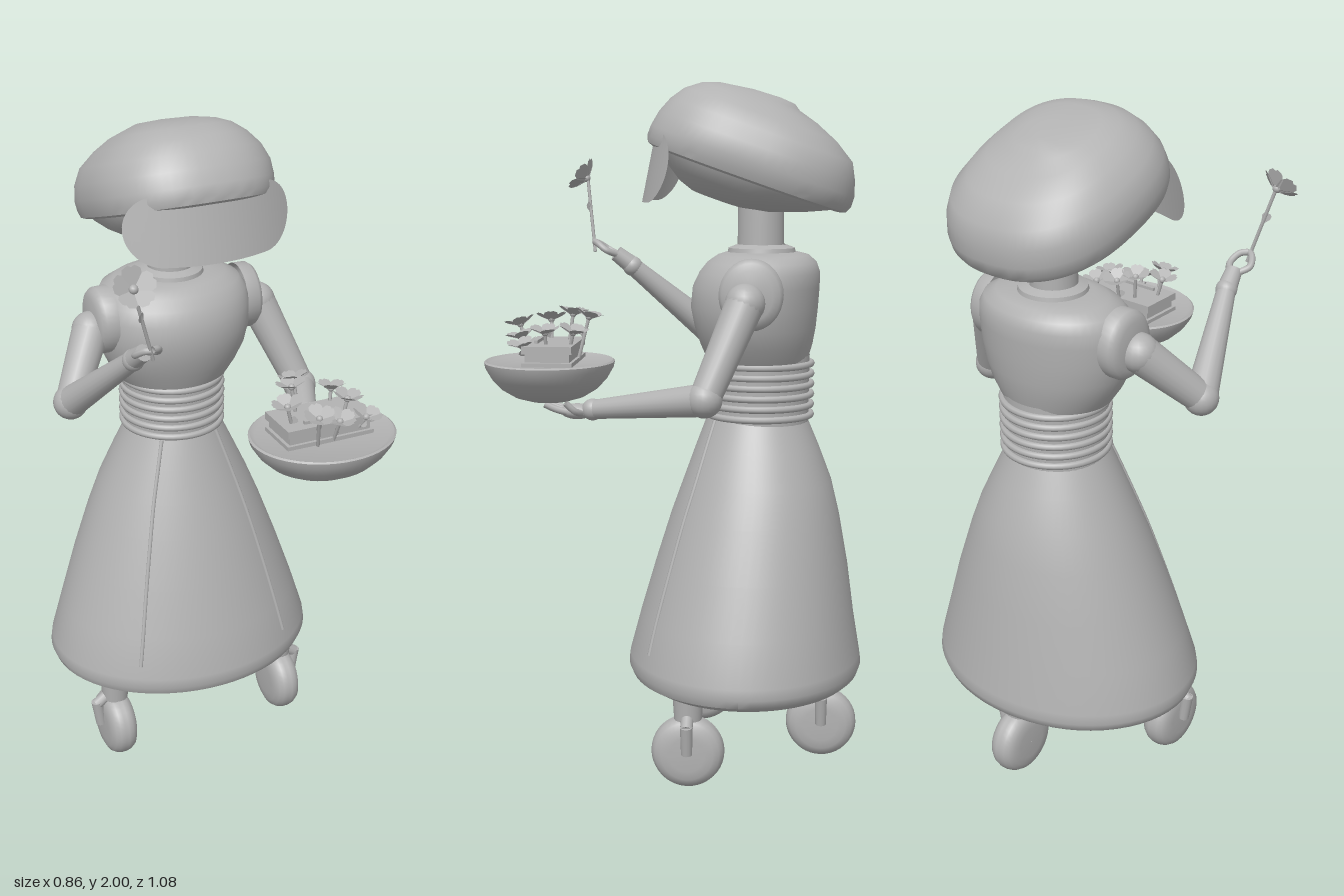
import * as THREE from 'three';
import { toCreasedNormals, mergeGeometries } from 'three/addons/utils/BufferGeometryUtils.js';

const V = (x, y, z) => new THREE.Vector3(x, y, z);

export function createModel() {
  const model = new THREE.Group();
  const grey = new THREE.MeshStandardMaterial({ color: 0xb2b2b2, side: THREE.DoubleSide });
  grey.name = 'plain grey';

  const add = (name, geometry, parent = model, position) => {
    const mesh = new THREE.Mesh(geometry, grey);
    mesh.name = name;
    if (position) mesh.position.copy(position);
    parent.add(mesh);
    return mesh;
  };
  const group = (name, parent = model) => {
    const g = new THREE.Group();
    g.name = name;
    parent.add(g);
    return g;
  };

  // Skin of stacked ellipses, each [y, radiusX, radiusZ, centreZ]; power over 2 squares them off
  const loft = (sections, n = 48, crease = 0.6, power = 2) => {
    const pos = [], idx = [];
    const bend = v => Math.sign(v) * Math.pow(Math.abs(v), 2 / power);
    sections.forEach(([y, rx, rz, cz = 0], j) => {
      for (let i = 0; i < n; i++) {
        const a = (i / n) * Math.PI * 2;
        pos.push(rx * bend(Math.cos(a)), y, cz + rz * bend(Math.sin(a)));
        if (j === sections.length - 1) continue;
        const p = j * n + i, q = j * n + ((i + 1) % n);
        idx.push(p, p + n, q, q, p + n, q + n);
      }
    });
    const g = new THREE.BufferGeometry();
    g.setAttribute('position', new THREE.Float32BufferAttribute(pos, 3));
    g.setIndex(idx);
    return toCreasedNormals(g, crease);
  };

  // Tapered rod from a to b
  const rod = (name, a, b, r0, r1, parent, sides = 20) => {
    const m = add(name, new THREE.CylinderGeometry(r1, r0, a.distanceTo(b), sides), parent);
    m.position.copy(a).lerp(b, 0.5);
    m.quaternion.setFromUnitVectors(V(0, 1, 0), b.clone().sub(a).normalize());
  };
  const ball = (name, p, r, parent) => add(name, new THREE.SphereGeometry(r, 20, 14), parent, p);
  const tube = (name, pts, r, parent) =>
    add(name, new THREE.TubeGeometry(new THREE.CatmullRomCurve3(pts), 16, r, 8), parent);

  // Skirt, with a rolled hem and a recessed floor
  const skirt = [
    [0.26, 0.39, 0.315, -0.2], [0.275, 0.412, 0.337, -0.195], [0.3, 0.422, 0.347, -0.194],
    [0.33, 0.418, 0.343, -0.194], [0.45, 0.381, 0.317, -0.2], [0.6, 0.331, 0.285, -0.212],
    [0.75, 0.276, 0.248, -0.222], [0.85, 0.235, 0.218, -0.228], [0.95, 0.188, 0.181, -0.227],
    [1.035, 0.147, 0.147, -0.225],
  ];
  add('skirt', loft(skirt, 64));
  add('skirtFloor', loft([[0.27, 0.001, 0.001, -0.2], [0.27, 0.32, 0.255, -0.2], [0.262, 0.34, 0.27, -0.2], [0.26, 0.39, 0.315, -0.2]], 64));

  // Raised seams down the front of the skirt
  for (const s of [-1, 1]) {
    const pts = skirt.slice(4).map(([y, rx, rz, cz]) => V(s * rx * 0.6, y, cz + rz * 0.8));
    pts.unshift(V(s * 0.244, 0.37, -0.196 + 0.333 * 0.8));
    tube('skirtSeam', pts, 0.006);
  }

  // Ribbed waist
  add('waist', loft([[1.02, 0.15, 0.146, -0.23], [1.22, 0.154, 0.148, -0.23]]));
  for (let i = 0; i < 6; i++) {
    const ring = add('waistRing', new THREE.TorusGeometry(0.151, 0.01, 8, 48), model, V(0, 1.045 + i * 0.03, -0.232));
    ring.rotation.x = Math.PI / 2;
  }

  // Torso, collar and neck
  add('torso', loft([
    [1.205, 0.001, 0.001, -0.225], [1.205, 0.168, 0.146, -0.225], [1.25, 0.198, 0.163, -0.222],
    [1.3, 0.221, 0.176, -0.218], [1.36, 0.234, 0.185, -0.215], [1.42, 0.236, 0.184, -0.22],
    [1.46, 0.23, 0.175, -0.23], [1.49, 0.211, 0.158, -0.237], [1.51, 0.17, 0.132, -0.24],
    [1.518, 0.12, 0.105, -0.238], [1.52, 0.001, 0.001, -0.235],
  ], 48, 0.9));
  add('collar', loft([[1.51, 0.1, 0.1, -0.235], [1.53, 0.096, 0.096, -0.235], [1.54, 0.07, 0.07, -0.235]]));
  add('neck', new THREE.CylinderGeometry(0.065, 0.067, 0.2, 32), model, V(0, 1.62, -0.232));

  // Tilted, squarish helmet with a domed underside
  const head = group('head');
  head.position.set(0, 1.74, -0.195);
  head.rotation.x = -0.337;
  add('helmet', loft([
    [0, 0.225, 0.27], [-0.014, 0.24, 0.285], [-0.008, 0.255, 0.302], [0.01, 0.262, 0.31], [0.04, 0.267, 0.309],
    [0.085, 0.263, 0.297, 0.003], [0.13, 0.243, 0.276, 0.005], [0.17, 0.205, 0.231, 0.022],
    [0.2, 0.165, 0.175, 0.037], [0.217, 0.124, 0.122, 0.043], [0.23, 0.08, 0.065, 0.005], [0.234, 0.001, 0.001, -0.015],
  ], 64, 0.7, 2.45), head);
  add('headUnderside', loft([
    [-0.098, 0.001, 0.001, 0.06], [-0.095, 0.1, 0.08, 0.06], [-0.08, 0.155, 0.14, 0.042],
    [-0.05, 0.2, 0.205, 0.022], [-0.02, 0.228, 0.258, 0.006], [0.005, 0.238, 0.284],
  ], 48, 0.9, 2.3), head);

  // Curved pill-shaped face plate, made of vertical strips
  const face = new THREE.PlaneGeometry(2, 2, 40, 6), fp = face.attributes.position;
  for (let i = 0; i < fp.count; i++) {
    const x = 0.25 * Math.sin(fp.getX(i) * Math.PI / 2);
    const over = Math.max(0, Math.abs(x) - 0.155) / 0.095;
    const y = 1.758 + fp.getY(i) * 0.096 * Math.sqrt(Math.max(0, 1 - over * over));
    fp.setXYZ(i, x, y, 0.09 + (1.765 - y) * 0.2 - 1.2 * x * x);
  }
  face.computeVertexNormals();
  add('facePlate', face);

  // Arms: shoulder disc, upper arm, elbow, forearm, wrist
  const arm = (name, s, elbow, wrist) => {
    const g = group(name), shoulder = V(s * 0.268, 1.39, -0.2);
    const disc = add('shoulderDisc', loft([[-0.03, 0.1, 0.09], [0.008, 0.099, 0.09], [0.02, 0.09, 0.081], [0.028, 0.07, 0.062], [0.032, 0.001, 0.001]], 32, 0.9), g, V(s * 0.235, 1.41, -0.215));
    disc.rotation.z = -s * Math.PI / 2;
    ball('shoulder', shoulder, 0.056, g);
    rod('upperArm', shoulder, elbow, 0.055, 0.044, g);
    ball('elbow', elbow, 0.05, g);
    rod('forearm', elbow, wrist, 0.046, 0.027, g);
    ball('wrist', wrist, 0.031, g);
    return g;
  };
  const leftArm = arm('leftArm', 1, V(0.367, 1.135, -0.095), V(0.235, 1.085, 0.23));
  const rightArm = arm('rightArm', -1, V(-0.385, 1.24, -0.07), V(-0.29, 1.455, 0.175));

  // Left hand, spread under the bowl
  ball('palm', V(0.225, 1.078, 0.275), 0.032, leftArm).scale.set(1, 0.7, 1.5);
  [-1, 0, 1].forEach(i => tube('finger', [V(0.222 + i * 0.018, 1.075, 0.29), V(0.215 + i * 0.03, 1.085, 0.33), V(0.21 + i * 0.036, 1.1, 0.365)], 0.01, leftArm));
  tube('thumb', [V(0.245, 1.075, 0.26), V(0.275, 1.085, 0.275), V(0.285, 1.11, 0.3)], 0.01, leftArm);

  // Right hand, pinching the flower stem
  rod('palm', V(-0.29, 1.46, 0.18), V(-0.28, 1.495, 0.225), 0.028, 0.024, rightArm);
  tube('finger', [V(-0.29, 1.49, 0.215), V(-0.315, 1.505, 0.25), V(-0.302, 1.525, 0.28), V(-0.285, 1.53, 0.293)], 0.01, rightArm);
  tube('thumb', [V(-0.27, 1.49, 0.215), V(-0.25, 1.505, 0.25), V(-0.262, 1.525, 0.278), V(-0.283, 1.53, 0.291)], 0.01, rightArm);

  // Flower: five notched, cupped petals around a bead, facing along dir
  const petalShape = new THREE.Shape();
  [[0.12, 0], [0.42, 0.55], [0.38, 0.85], [0.14, 1], [0, 0.92], [-0.14, 1], [-0.38, 0.85], [-0.42, 0.55], [-0.12, 0]]
    .forEach(([x, y], i) => (i ? petalShape.lineTo(x, y) : petalShape.moveTo(x, y)));
  const petal = new THREE.ShapeGeometry(petalShape);
  petal.rotateX(0.5);
  const petals = mergeGeometries([0, 1, 2, 3, 4].map(i => petal.clone().rotateZ(i * Math.PI * 0.4)));
  const flower = (root, tip, dir, size, parent) => {
    const g = group('flower', parent);
    rod('stem', root, tip, 0.005, 0.005, g, 6);
    const bloom = group('bloom', g);
    bloom.position.copy(tip);
    bloom.quaternion.setFromUnitVectors(V(0, 0, 1), dir.clone().normalize());
    bloom.scale.setScalar(size);
    add('petals', petals, bloom);
    add('flowerCentre', new THREE.SphereGeometry(0.2, 10, 8), bloom, V(0, 0, 0.1));
    const leaf = add('leaf', petal, g, root.clone().lerp(tip, 0.55));
    leaf.scale.setScalar(size * 0.5);
    leaf.rotation.set(0.8, tip.x * 25, 0);
  };
  flower(V(-0.28, 1.5, 0.29), V(-0.345, 1.72, 0.32), V(-0.15, 0.6, 0.8), 0.065, model);

  // Bowl, filled almost to the rim
  const bowl = group('bowl');
  bowl.position.set(0.197, 0, 0.357);
  add('bowlShell', loft([
    [1.105, 0.001, 0.001], [1.106, 0.07, 0.06], [1.118, 0.115, 0.1], [1.14, 0.155, 0.136], [1.17, 0.187, 0.164],
    [1.2, 0.207, 0.181], [1.217, 0.212, 0.185], [1.221, 0.206, 0.18], [1.215, 0.193, 0.168], [1.213, 0.001, 0.001],
  ], 48, 0.7), bowl);

  // Layered planter standing in the bowl
  for (let i = 0; i < 3; i++)
    add('planterLayer', new THREE.BoxGeometry(i === 1 ? 0.25 : 0.268, 0.022, i === 1 ? 0.125 : 0.14), bowl, V(-0.003, 1.215 + i * 0.023, -0.012));
  add('planterRail', new THREE.BoxGeometry(0.13, 0.012, 0.01), bowl, V(-0.01, 1.275, 0.03));

  // Planted flowers, each [x, y, z]
  const bouquet = group('bouquet');
  [[0.16, 1.335, 0.25], [0.263, 1.3, 0.28], [0.128, 1.34, 0.3], [0.08, 1.32, 0.37], [0.272, 1.3, 0.357],
    [0.134, 1.31, 0.45], [0.206, 1.28, 0.435], [0.3, 1.265, 0.415]].forEach(([x, y, z]) => {
    const out = V((x - 0.195) * 1.5, 0.9, (z - 0.35) * 2.5);
    flower(V(0.195 + (x - 0.195) * 0.75, 1.215, 0.35 + (z - 0.35) * 0.7), V(x, y, z), out, 0.049, bouquet);
  });

  // Casters: pivot, rounded wheel, side fork
  const tread = [[0.001, -0.045], [0.05, -0.045], [0.075, -0.042], [0.092, -0.034], [0.101, -0.021], [0.105, -0.006]];
  const wheelProfile = [...tread, ...tread.slice().reverse().map(([r, h]) => [r, -h])].map(([r, h]) => [h, r, r]);
  [[-0.287, -0.045, -1], [0.287, -0.045, 1], [0, -0.425, 1]].forEach(([x, z, s]) => {
    const c = group('caster');
    c.position.set(x, 0, z);
    add('wheel', loft(wheelProfile, 40), c, V(0, 0.105, 0)).rotation.z = Math.PI / 2;
    add('pivot', new THREE.CylinderGeometry(0.046, 0.04, 0.09, 24), c, V(0, 0.245, 0));
    rod('forkTop', V(s * 0.02, 0.215, 0), V(s * 0.062, 0.185, 0), 0.018, 0.018, c, 12);
    rod('forkSide', V(s * 0.062, 0.195, 0), V(s * 0.05, 0.11, 0), 0.018, 0.016, c, 12);
  });

  return model;
}
